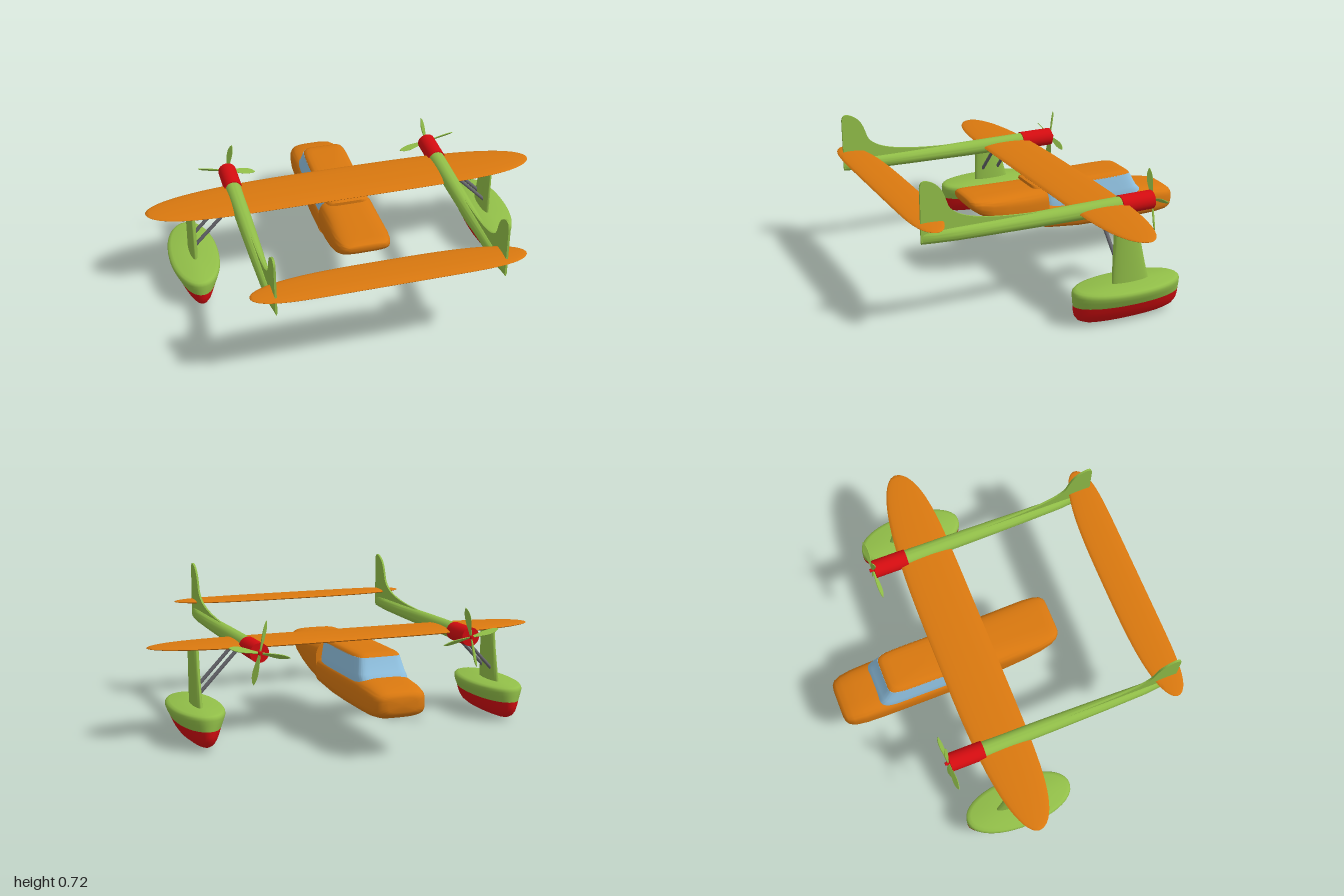
import * as THREE from 'three';
import { toCreasedNormals } from 'three/addons/utils/BufferGeometryUtils.js';

const mat = (name, color) => {
  const m = new THREE.MeshStandardMaterial({ color });
  m.name = name;
  return m;
};

// Point of a superellipse with exponent n
const superPoint = (t, n) => {
  const f = (v) => Math.sign(v) * Math.pow(Math.abs(v), 2 / n);
  return [f(Math.cos(t)), f(Math.sin(t))];
};

// Closed ring: place(c, s) maps superellipse coordinates to [x, y, z]
const ring = (place, n = 2, seg = 48) =>
  Array.from({ length: seg }, (_, i) => place(...superPoint((i / seg) * Math.PI * 2, n)));

// Skin closed rings of equal length, cap both ends and turn the faces outward
function loft(rings, crease = 0.9) {
  const n = rings[0].length, pos = rings.flat(2), idx = [];
  for (let r = 0; r < rings.length - 1; r++) {
    for (let i = 0; i < n; i++) {
      const a = r * n + i, b = r * n + (i + 1) % n;
      idx.push(a, b, a + n, b, b + n, a + n);
    }
  }
  [0, rings.length - 1].forEach((r, end) => {
    const centre = pos.length / 3;
    for (let k = 0; k < 3; k++) pos.push(rings[r].reduce((s, p) => s + p[k], 0) / n);
    for (let i = 0; i < n; i++) {
      const a = r * n + i, b = r * n + (i + 1) % n;
      idx.push(centre, ...(end ? [a, b] : [b, a]));
    }
  });
  // Signed volume tells whether the winding must be reversed
  const v = (i) => new THREE.Vector3().fromArray(pos, i * 3);
  let volume = 0;
  for (let i = 0; i < idx.length; i += 3) volume += v(idx[i]).dot(v(idx[i + 1]).cross(v(idx[i + 2])));
  if (volume < 0) idx.reverse();
  const g = new THREE.BufferGeometry();
  g.setAttribute('position', new THREE.Float32BufferAttribute(pos, 3));
  g.setIndex(idx);
  return toCreasedNormals(g, crease);
}

// Rounded wing: half span, height, half thickness, mid z and forward / rear chord with edge powers
function wingGeometry(span, y, thick, mid, front, frontPow, rear, rearPow) {
  const rings = [];
  for (let i = 0; i <= 48; i++) {
    const u = -Math.cos((i / 48) * Math.PI) * 0.9998, a = Math.abs(u);
    const f = front * Math.sqrt(1 - a ** frontPow), r = rear * Math.sqrt(1 - a ** rearPow);
    const t = thick * (f + r) / (front + rear);
    rings.push(ring((c, s) => [u * span, y + t * s, mid + (c > 0 ? r : f) * c], 2, 24));
  }
  return loft(rings, 1.2);
}

function rod(a, b, radius, material) {
  const from = new THREE.Vector3(...a), dir = new THREE.Vector3(...b).sub(from);
  const m = new THREE.Mesh(new THREE.CylinderGeometry(radius, radius, dir.length(), 12), material);
  m.position.copy(from).addScaledVector(dir, 0.5);
  m.quaternion.setFromUnitVectors(new THREE.Vector3(0, 1, 0), dir.normalize());
  return m;
}

export function createModel() {
  const model = new THREE.Group();
  model.name = 'twinBoomSeaplane';
  const orange = mat('orange', 0xd9780f), green = mat('green', 0x91be48), red = mat('red', 0xd40c10);
  const blue = mat('window blue', 0x8fc0df), grey = mat('strut grey', 0x66666c);
  const add = (name, geo, material, parent = model) => {
    const m = geo.isMesh ? geo : new THREE.Mesh(geo, material);
    m.name = name;
    parent.add(m);
    return m;
  };

  // Fuselage sections: z, half width, bottom, top
  const body = [
    [-0.81, 0.07, 0.215, 0.28], [-0.805, 0.097, 0.203, 0.293], [-0.79, 0.116, 0.19, 0.304],
    [-0.76, 0.129, 0.18, 0.314], [-0.7, 0.137, 0.174, 0.325], [-0.6, 0.14, 0.172, 0.335],
    [-0.4, 0.14, 0.172, 0.338], [-0.25, 0.14, 0.177, 0.338], [-0.07, 0.14, 0.197, 0.338],
    [-0.069, 0.14, 0.197, 0.413], [0.05, 0.14, 0.222, 0.413], [0.15, 0.14, 0.255, 0.413],
    [0.23, 0.138, 0.292, 0.413], [0.29, 0.13, 0.328, 0.413], [0.32, 0.118, 0.35, 0.412],
    [0.337, 0.1, 0.368, 0.408], [0.341, 0.085, 0.378, 0.402]];
  add('fuselage', loft(body.map(([z, w, b, t]) =>
    ring((c, s) => [w * c, (b + t) / 2 + (t - b) / 2 * s, z], 3.6))), orange);

  // Cockpit levels: y, half width, front z, rear z
  const cabin = (levels) => loft(levels.map(([y, w, f, r]) =>
    ring((c, s) => [w * c, y, (f + r) / 2 + (r - f) / 2 * s], 8, 64)));
  add('cockpitGlass', cabin([[0.3, 0.128, -0.62, -0.06], [0.33, 0.128, -0.614, -0.065],
    [0.35, 0.125, -0.594, -0.065], [0.42, 0.112, -0.558, -0.065]]), blue);
  add('cockpitRoof', cabin([[0.418, 0.113, -0.559, 0], [0.428, 0.107, -0.55, 0],
    [0.434, 0.096, -0.535, 0], [0.437, 0.075, -0.5, -0.01]]), orange);

  // Main wing and tailplane
  add('mainWing', wingGeometry(1, 0.452, 0.017, -0.13, 0.155, 3.2, 0.13, 6), orange);
  add('tailplane', wingGeometry(0.65, 0.522, 0.013, 0.73, 0.11, 3.2, 0.077, 7), orange);

  // Fin outline in (z, y)
  const fin = new THREE.Shape();
  fin.moveTo(0.768, 0.44);
  fin.lineTo(0.768, 0.695);
  fin.quadraticCurveTo(0.765, 0.728, 0.735, 0.723);
  fin.bezierCurveTo(0.66, 0.7, 0.655, 0.645, 0.635, 0.595);
  fin.bezierCurveTo(0.6, 0.53, 0.48, 0.5, 0.2, 0.488);
  fin.lineTo(0.2, 0.46);
  const finGeo = new THREE.ExtrudeGeometry(fin, { depth: 0.01, bevelEnabled: false, curveSegments: 16 });
  finGeo.translate(0, 0, -0.005).rotateY(-Math.PI / 2);

  // Propeller blade outline: leaf along +y
  const leaf = new THREE.Shape();
  leaf.moveTo(-0.005, 0);
  leaf.bezierCurveTo(-0.006, 0.05, -0.034, 0.11, 0, 0.152);
  leaf.bezierCurveTo(0.024, 0.11, 0.006, 0.05, 0.005, 0);
  const leafGeo = new THREE.ExtrudeGeometry(leaf, { depth: 0.004, bevelEnabled: false, curveSegments: 12 });
  leafGeo.translate(0, 0, -0.002);

  for (const side of [1, -1]) {
    const label = side > 0 ? 'left' : 'right';
    const x = side * 0.54, fx = side * 0.78;

    // Boom sections: z, half width, centre y, half height
    const boom = [[-0.25, 0.041, 0.45, 0.041], [0.1, 0.038, 0.451, 0.038], [0.4, 0.033, 0.452, 0.034],
      [0.6, 0.028, 0.454, 0.032], [0.7, 0.018, 0.455, 0.029], [0.768, 0.004, 0.457, 0.027]];
    add(label + 'Boom', loft(boom.map(([z, w, y, h]) => ring((c, s) => [x + w * c, y + h * s, z], 2, 32))), green);
    add(label + 'Fin', finGeo, green).position.x = x;

    // Engine cowl and propeller
    const cowl = new THREE.CylinderGeometry(0.046, 0.046, 0.175, 32).rotateX(Math.PI / 2);
    add(label + 'EngineCowl', cowl, red).position.set(x, 0.45, -0.3225);
    const prop = new THREE.Group();
    prop.name = label + 'Propeller';
    prop.position.set(x, 0.45, -0.415);
    add('hub', new THREE.CylinderGeometry(0.013, 0.008, 0.035, 16).rotateX(Math.PI / 2), red, prop);
    for (let i = 0; i < 4; i++) {
      const arm = new THREE.Group();
      arm.name = 'bladeArm';
      arm.rotation.z = side * 0.22 + i * Math.PI / 2;
      add('blade', leafGeo, green, arm).rotation.y = side * 0.75;
      prop.add(arm);
    }
    model.add(prop);

    // Float levels: y, half width, half length
    const levels = (list) => loft(list.map(([y, w, l]) =>
      ring((c, s) => [fx + w * c, y, -0.142 + l * s], 2.1)), 1);
    add(label + 'FloatTop', levels([[0.1, 0.101, 0.273], [0.13, 0.117, 0.274], [0.15, 0.125, 0.274],
      [0.162, 0.125, 0.273], [0.17, 0.119, 0.266], [0.175, 0.105, 0.25]]), green);
    add(label + 'FloatHull', levels([[0.001, 0.004, 0.12], [0.004, 0.022, 0.17], [0.012, 0.042, 0.215],
      [0.028, 0.062, 0.25], [0.05, 0.077, 0.267], [0.075, 0.09, 0.272], [0.1, 0.101, 0.273]]), red);

    // Float pylon levels: y, front z, rear z
    const pylon = [[0.16, -0.262, -0.067], [0.25, -0.238, -0.067], [0.35, -0.215, -0.069], [0.452, -0.198, -0.072]];
    add(label + 'FloatPylon', loft(pylon.map(([y, f, r]) =>
      ring((c, s) => [fx + 0.021 * c, y, (f + r) / 2 + (r - f) / 2 * s], 2, 32))), green);
    for (const z of [-0.11, -0.2]) {
      add(label + 'FloatStrut', rod([side * 0.775, 0.23, z], [side * 0.57, 0.445, z], 0.009, grey));
    }
  }
  return model;
}
